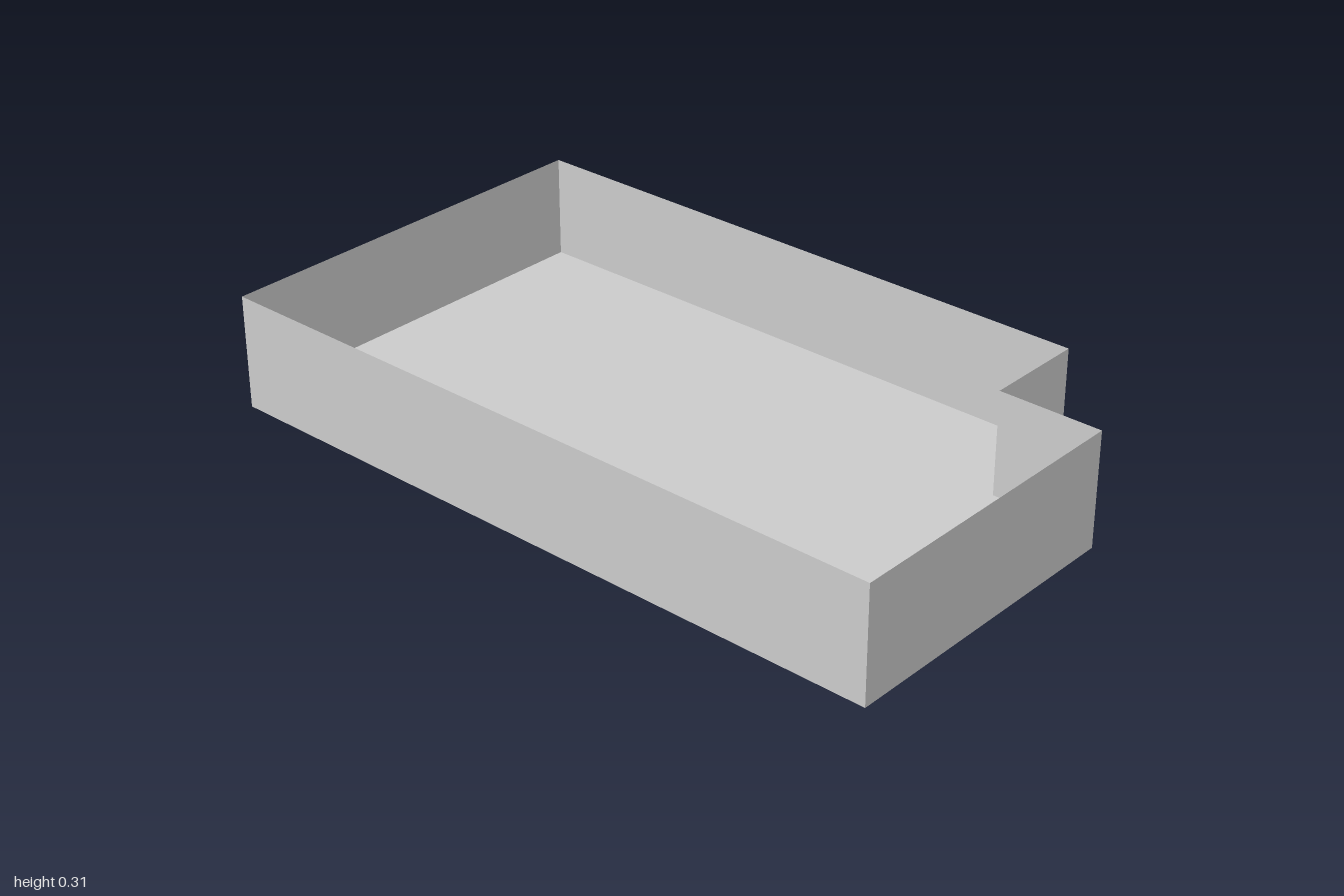
import * as THREE from 'three';

const W = 1, D = 0.571, H = 0.315; // half width, half depth, wall height
const NX = 0.714, NZ = 0.286; // inner corner of the notches
const T = 0.03; // floor thickness

export function createModel() {
  const group = new THREE.Group();
  group.name = 'tray';
  const material = new THREE.MeshStandardMaterial({ color: 0xcccccc, side: THREE.DoubleSide });

  // Floor slab: cut away at the back left and the front right corners
  const outline = [[-W, -D], [NX, -D], [NX, -NZ], [W, -NZ], [W, D], [-NX, D], [-NX, NZ], [-W, NZ]];
  const shape = new THREE.Shape(outline.map(([x, z]) => new THREE.Vector2(x, -z)));
  const slab = new THREE.ExtrudeGeometry(shape, { depth: T, bevelEnabled: false });
  const floor = new THREE.Mesh(slab.rotateX(-Math.PI / 2), material);
  floor.name = 'floor';
  group.add(floor);

  // Thin walls: stepped round the back left notch, square at the other corners
  const path = [[-W, D], [W, D], [W, -NZ], [NX, -NZ], [NX, -D], [-W, -D]];
  const walls = new THREE.Group();
  walls.name = 'walls';
  path.forEach(([x, z], i) => {
    const [x2, z2] = path[(i + 1) % path.length];
    const wall = new THREE.Mesh(new THREE.PlaneGeometry(Math.hypot(x2 - x, z2 - z), H), material);
    wall.position.set((x + x2) / 2, H / 2, (z + z2) / 2);
    wall.rotation.y = Math.atan2(z - z2, x2 - x);
    wall.name = `wall${i + 1}`;
    walls.add(wall);
  });
  group.add(walls);

  return group;
}
